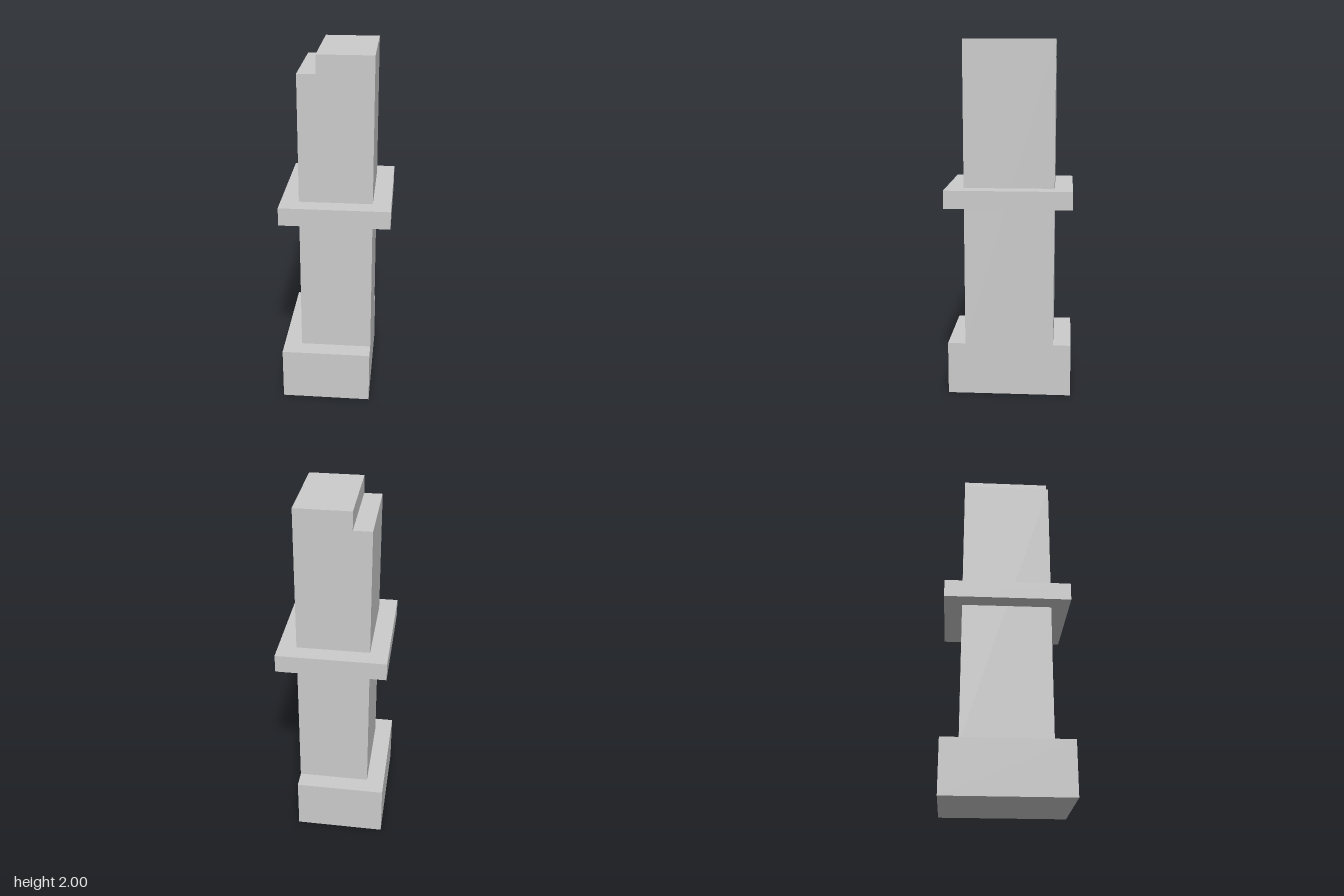
import * as THREE from 'three';

const material = new THREE.MeshStandardMaterial({ color: 0xcccccc, flatShading: true });

// Box given by its extents in x and y, centred on z = 0
function block(name, x0, x1, y0, y1, depth) {
  const mesh = new THREE.Mesh(new THREE.BoxGeometry(x1 - x0, y1 - y0, depth), material);
  mesh.position.set((x0 + x1) / 2, (y0 + y1) / 2, 0);
  mesh.name = name;
  return mesh;
}

export function createModel() {
  const model = new THREE.Group();
  model.name = 'pillar';

  // Plinth, flush with the shaft on the left side
  model.add(block('base', -0.3, 0.2, 0, 0.3, 0.7));

  // Shaft with a step cut along its upper right edge
  const profile = new THREE.Shape([
    [-0.2, 0.3], [0.2, 0.3], [0.2, 2], [-0.1, 2], [-0.1, 1.9], [-0.2, 1.9],
  ].map(([x, y]) => new THREE.Vector2(x, y)));
  const shaftGeometry = new THREE.ExtrudeGeometry(profile, { depth: 0.5, bevelEnabled: false });
  shaftGeometry.translate(0, 0, -0.25);
  const shaft = new THREE.Mesh(shaftGeometry, material);
  shaft.name = 'shaft';
  model.add(shaft);

  // Projecting band around the shaft
  model.add(block('band', -0.3, 0.3, 1.1, 1.2, 0.7));

  return model;
}
